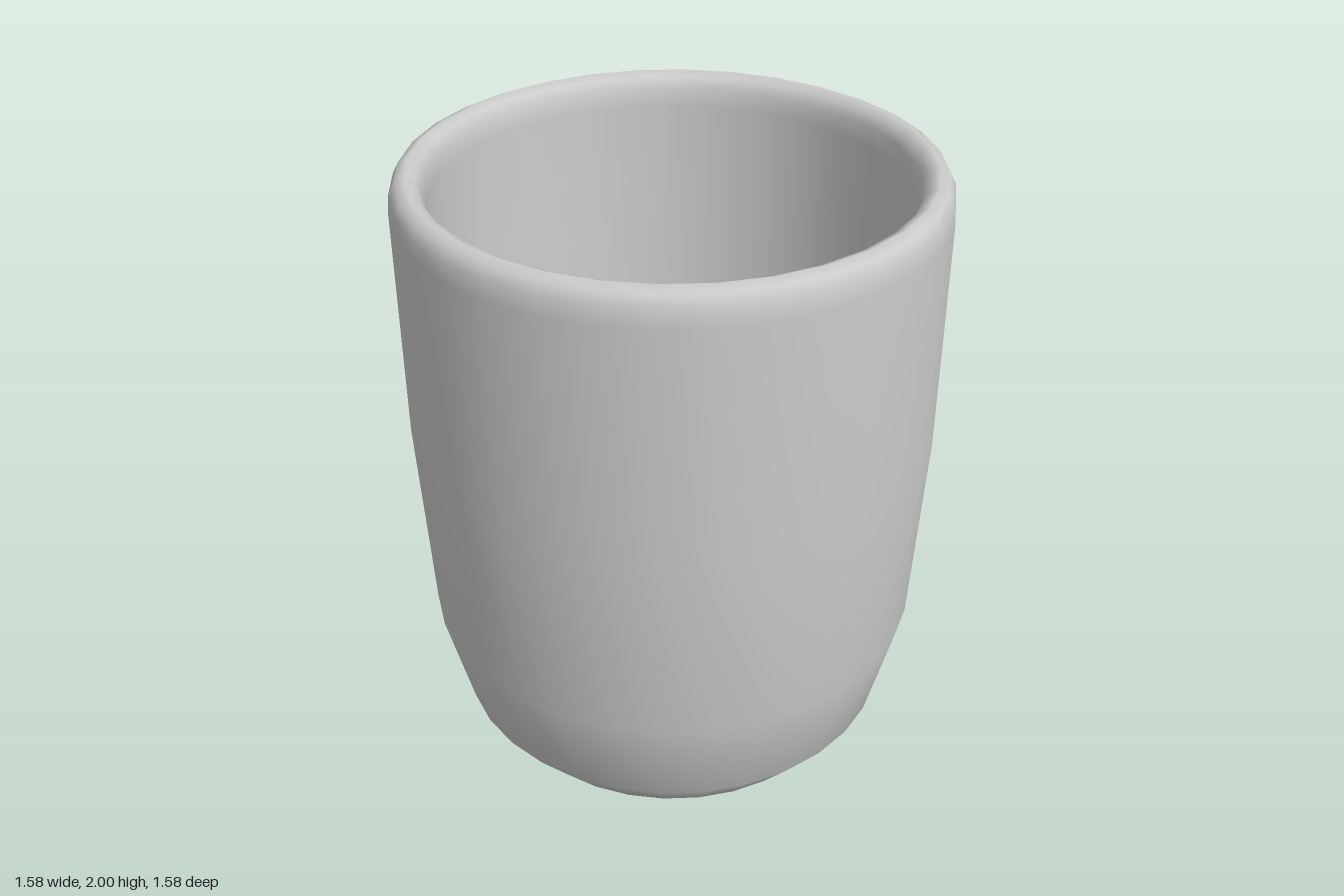
import * as THREE from 'three';

const V = (x, y, z) => new THREE.Vector3(x, y, z);

// Cup section: up the outside, over the rolled rim, down inside to the thick floor
const profile = [
  [0, 0], [0.16, 0.01], [0.29, 0.03], [0.42, 0.065], [0.56, 0.135], [0.67, 0.265],
  [0.75, 0.58], [0.785, 1.2], [0.79, 1.9], [0.785, 1.955], [0.768, 1.987], [0.74, 2],
  [0.712, 1.987], [0.695, 1.955], [0.69, 1.9], [0.685, 1.2], [0.655, 0.7], [0.594, 0.46],
  [0.45, 0.335], [0.3, 0.29], [0, 0.28],
].map(([r, y]) => new THREE.Vector2(r, y));

// Points on the outer wall where three cracks meet
const A = V(0.2, 1.68, 0.764), B = V(0.15, 1.11, 0.765), C = V(0.4, 0.91, 0.66);
const D = V(-0.38, 0.13, 0.4), E = V(0.68, 0.93, -0.38);
const F = V(-0.53, 1.75, -0.59), G = V(-0.07, 1.38, -0.787);
const aInner = V(0.18, 1.8, 0.67);
const slant = V(-0.51, 0.454, -0.73);

// Each crack is a flat cut through two crack points and a third point
const cut = (p, q, r) => new THREE.Plane().setFromCoplanarPoints(p, q, r);
const chipLeft = cut(A, aInner, V(0.03, 2, 0.79));
const chipRight = cut(A, aInner, V(0.57, 2, 0.52));
const AB = cut(A, B, aInner);
const BC = cut(B, C, B.clone().add(V(0, 0, -1)));
const CD = cut(C, D, C.clone().add(V(0, 0, -1)));
const CE = cut(C, E, V(0.79, 0.94, 0.05));
const DE = cut(D, E, V(0.38, 0.27, -0.55));
const EG = cut(E, G, V(0.51, 1.05, -0.6));
const GD = cut(G, D, G.clone().add(slant));
const GF = cut(G, F, G.clone().add(slant));
const FB = cut(F, B, V(-0.79, 1.47, 0));
const rimCrack = cut(F, V(-0.52, 2, -0.6), V(-0.47, 2, -0.51));

// Shards in breaking order: cuts that bound it and a point on its side of them
const shards = [
  ['rimChip', [chipLeft, chipRight], V(0.3, 2, 0.7)],
  ['upperRightShard', [AB, FB, rimCrack], V(-0.6, 1.8, 0.4)],
  ['lowerBackShard', [EG, GD, DE], V(0.1, 0.5, -0.7)],
  ['lowerRightShard', [BC, CD, GF], V(-0.6, 0.8, 0.2)],
  ['lowerFrontShard', [CE], V(0.6, 0.5, 0.4)],
  ['upperLeftShard', [], V(0.7, 1.5, 0)],
];

// Keep the part of a polygon where sign * distance to the plane is positive
function clip(poly, plane, sign) {
  const out = [];
  poly.forEach((a, i) => {
    const b = poly[(i + 1) % poly.length];
    const da = sign * plane.distanceToPoint(a.p), db = sign * plane.distanceToPoint(b.p);
    if (da >= 0) out.push(a);
    if (da * db < 0) {
      const t = da / (da - db);
      out.push({ p: a.p.clone().lerp(b.p, t), n: a.n.clone().lerp(b.n, t).normalize() });
    }
  });
  return out.length > 2 ? out : null;
}

// Turn convex polygons into a smooth-shaded geometry
function toGeometry(polys) {
  const pos = [], nor = [];
  for (const poly of polys) {
    for (let i = 1; i < poly.length - 1; i++) {
      for (const v of [poly[0], poly[i], poly[i + 1]]) {
        pos.push(v.p.x, v.p.y, v.p.z);
        nor.push(v.n.x, v.n.y, v.n.z);
      }
    }
  }
  const g = new THREE.BufferGeometry();
  g.setAttribute('position', new THREE.Float32BufferAttribute(pos, 3));
  g.setAttribute('normal', new THREE.Float32BufferAttribute(nor, 3));
  return g;
}

export function createModel() {
  const model = new THREE.Group();
  model.name = 'crackedCup';
  const material = new THREE.MeshStandardMaterial({ color: 0xcccccc });

  // Whole cup as a list of triangles
  const cup = new THREE.LatheGeometry(profile, 32).toNonIndexed();
  const { position, normal } = cup.attributes;
  let rest = [];
  for (let i = 0; i < position.count; i += 3) {
    rest.push([i, i + 1, i + 2].map((k) => ({
      p: new THREE.Vector3().fromBufferAttribute(position, k),
      n: new THREE.Vector3().fromBufferAttribute(normal, k),
    })));
  }

  // Break off one shard after another
  for (const [name, cuts, inside] of shards) {
    let piece = rest;
    rest = [];
    for (const plane of cuts) {
      const sign = Math.sign(plane.distanceToPoint(inside));
      const kept = [];
      for (const poly of piece) {
        const near = clip(poly, plane, sign), far = clip(poly, plane, -sign);
        if (near) kept.push(near);
        if (far) rest.push(far);
      }
      piece = kept;
    }
    const mesh = new THREE.Mesh(toGeometry(piece), material);
    mesh.name = name;
    model.add(mesh);
  }
  return model;
}
